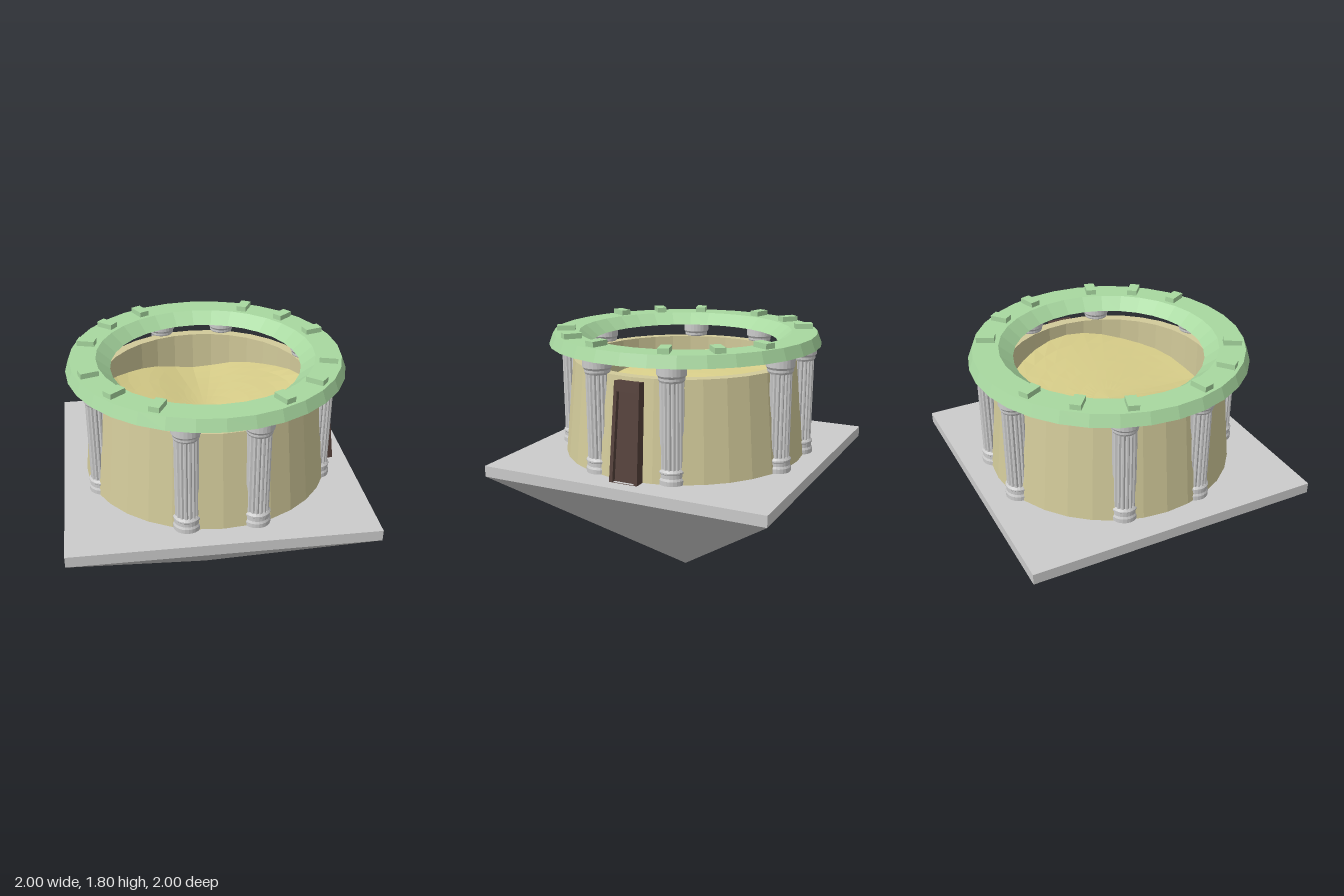
import * as THREE from 'three';

const mat = (color) => new THREE.MeshStandardMaterial({ color, flatShading: true, side: THREE.DoubleSide });
const stone = mat(0xcccccc);
const plaster = mat(0xd2ca9a);
const sand = mat(0xd6cc88);
const green = mat(0xa8d8a0);
const wood = mat(0x54403a);

function add(parent, name, geometry, material, x = 0, y = 0, z = 0) {
  const mesh = new THREE.Mesh(geometry, material);
  mesh.name = name;
  mesh.position.set(x, y, z);
  parent.add(mesh);
  return mesh;
}

const lathe = (points, sides) =>
  new THREE.LatheGeometry(points.map(([r, y]) => new THREE.Vector2(r, y)), sides);

// Shaft whose radius dips once per flute
function flutedShaft(radius, height, flutes) {
  const g = new THREE.CylinderGeometry(radius, radius, height, flutes * 3, 1, true);
  const p = g.attributes.position;
  for (let i = 0; i < p.count; i++) {
    const column = i % (flutes * 3 + 1);
    const k = column % 3 === 0 ? 0.88 : 1;
    p.setX(i, p.getX(i) * k);
    p.setZ(i, p.getZ(i) * k);
  }
  return g;
}

function createColumn(x, z) {
  const column = new THREE.Group();
  column.name = 'column';
  column.position.set(x, 0.93, z);
  add(column, 'columnBase', lathe([[0.09, 0], [0.09, 0.03], [0.083, 0.045], [0.083, 0.07],
    [0.088, 0.075], [0.088, 0.085], [0.076, 0.1], [0, 0.1]], 24), stone);
  add(column, 'columnShaft', flutedShaft(0.077, 0.57, 16), stone, 0, 0.375, 0);
  add(column, 'columnCapital', lathe([[0, 0.65], [0.076, 0.65], [0.084, 0.665], [0.084, 0.68],
    [0.094, 0.695], [0.094, 0.76], [0, 0.76]], 24), stone);
  return column;
}

// Tapered outline shared by the door frame and its opening
function taper(path, bottomHalf, topHalf, y0, y1) {
  path.moveTo(-bottomHalf, y0);
  path.lineTo(bottomHalf, y0);
  path.lineTo(topHalf, y1);
  path.lineTo(-topHalf, y1);
  path.closePath();
  return path;
}

function createDoor() {
  const door = new THREE.Group();
  door.name = 'door';
  const frame = taper(new THREE.Shape(), 0.1, 0.088, 0, 0.645);
  frame.holes.push(taper(new THREE.Path(), 0.076, 0.066, 0.001, 0.58));
  add(door, 'doorFrame', new THREE.ExtrudeGeometry(frame, { depth: 0.08, bevelEnabled: false }), wood, 0, 0, -0.08);
  const panel = taper(new THREE.Shape(), 0.078, 0.068, 0, 0.59);
  add(door, 'doorPanel', new THREE.ExtrudeGeometry(panel, { depth: 0.045, bevelEnabled: false }), wood, 0, 0, -0.075);
  // Lean back with the wall, facing +x
  door.rotation.set(-0.117, Math.PI / 2, 0, 'YXZ');
  door.position.set(0.905, 0.93, 0);
  return door;
}

// Uneven floor, rising towards the left and right walls
function floorGeometry() {
  const g = new THREE.RingGeometry(0.001, 0.71, 32, 7);
  g.rotateX(-Math.PI / 2);
  const p = g.attributes.position;
  for (let i = 0; i < p.count; i++) {
    const x = p.getX(i);
    const z = p.getZ(i);
    p.setY(i, 1.34 + 0.33 * x * x + 0.014 * Math.cos(10 * (x + 0.3)) + 0.008 * Math.cos(5 * z));
  }
  return g;
}

export function createModel() {
  const model = new THREE.Group();
  model.name = 'arena';

  // Inverted pyramid and square slab
  const pyramid = new THREE.ConeGeometry(Math.SQRT2, 0.855, 4);
  pyramid.rotateY(Math.PI / 4);
  pyramid.rotateX(Math.PI);
  add(model, 'pyramidFoundation', pyramid, stone, 0, 0.4275, 0);
  add(model, 'platform', new THREE.BoxGeometry(2, 0.075, 2), stone, 0, 0.8925, 0);

  // Tapered drum wall with its floor
  add(model, 'drumWall', lathe([[0.84, 0.93], [0.772, 1.588], [0.7, 1.588], [0.7, 0.93]], 32), plaster);
  add(model, 'arenaFloor', floorGeometry(), sand);

  // Ring roof carried by the columns
  add(model, 'roofRing', lathe([[0.93, 1.688], [0.9, 1.765], [0.727, 1.765],
    [0.635, 1.688], [0.93, 1.688]], 32), green);

  // Columns and roof blocks, mirrored into four quadrants
  for (const sx of [1, -1]) {
    for (const sz of [1, -1]) {
      model.add(createColumn(0.737 * sx, 0.263 * sz), createColumn(0.224 * sx, 0.775 * sz));
      for (const degrees of [17, 39.5, 62]) {
        const a = THREE.MathUtils.degToRad(degrees);
        const block = add(model, 'roofBlock', new THREE.BoxGeometry(0.12, 0.045, 0.07), green,
          0.814 * Math.cos(a) * sx, 1.7775, 0.814 * Math.sin(a) * sz);
        block.rotation.y = -a * sx * sz;
      }
    }
  }

  model.add(createDoor());
  return model;
}
